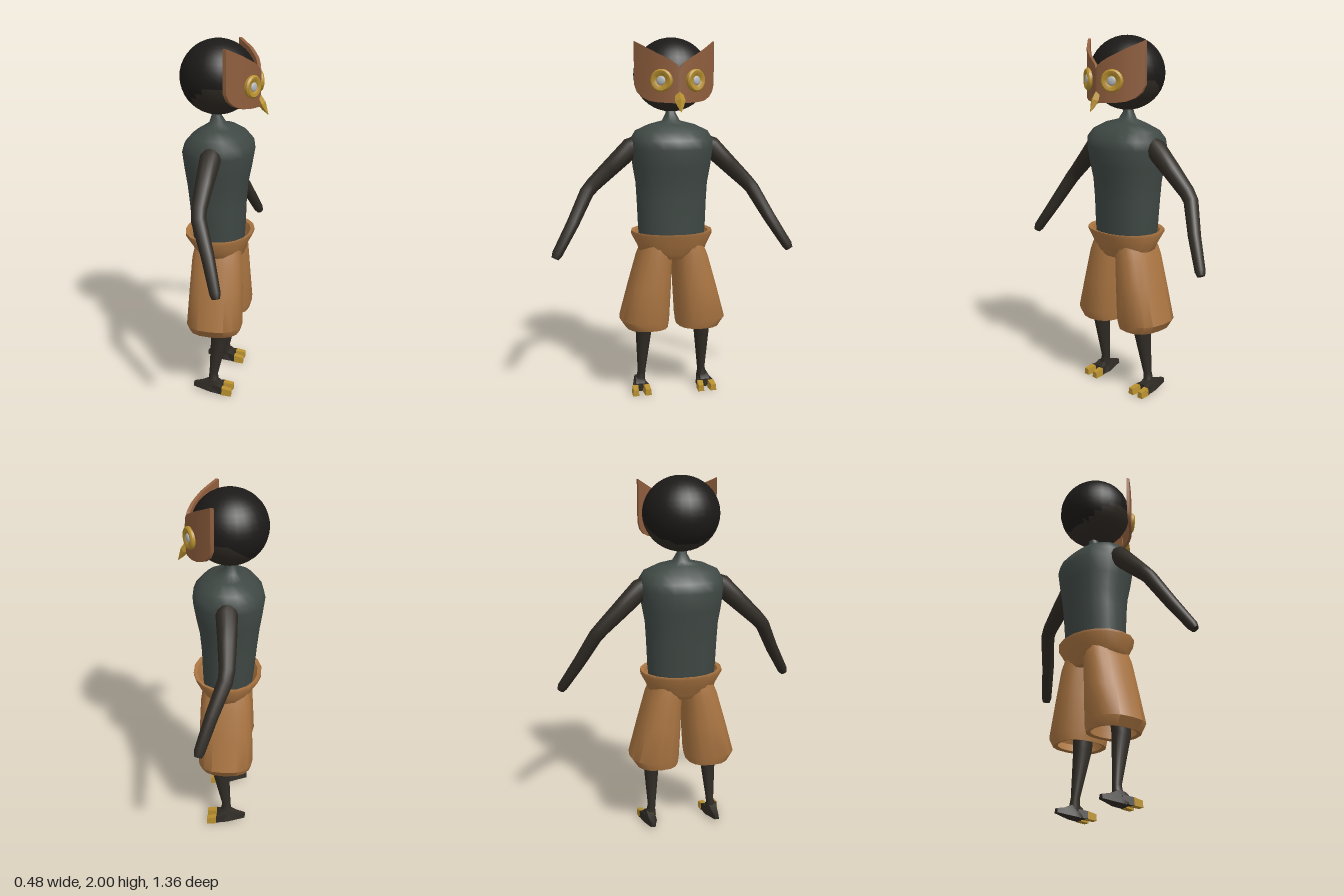
import * as THREE from 'three';
import { toCreasedNormals } from 'three/addons/utils/BufferGeometryUtils.js';

const V = (x, y, z) => new THREE.Vector3(x, y, z);
const mat = (color) => new THREE.MeshStandardMaterial({ color, roughness: 0.9 });

const hairMat = mat(0x1c1a18);
const skinMat = mat(0x2f2a24);
const shirtMat = mat(0x3f4844);
const shortsMat = mat(0xa97441);
shortsMat.side = THREE.DoubleSide;
const maskMat = mat(0x8f5e3d);
const goldMat = mat(0xb8902f);
const lensMat = mat(0xb4bac0);

// Skin a list of equal-length rings, optionally capping both ends
function loft(rings, capped = true, crease = 0.8) {
  const n = rings[0].length;
  const pos = rings.flat().flatMap((p) => p.toArray());
  const idx = [];
  for (let i = 0; i < rings.length - 1; i++) {
    for (let j = 0; j < n; j++) {
      const a = i * n + j, b = i * n + ((j + 1) % n);
      idx.push(a, b, a + n, b, b + n, a + n);
    }
  }
  if (capped) {
    [0, rings.length - 1].forEach((r) => {
      const mid = V(0, 0, 0);
      rings[r].forEach((p) => mid.addScaledVector(p, 1 / n));
      const c = pos.length / 3;
      pos.push(...mid.toArray());
      for (let j = 0; j < n; j++) {
        const a = r * n + j, b = r * n + ((j + 1) % n);
        if (r === 0) idx.push(c, b, a);
        else idx.push(c, a, b);
      }
    });
  }
  const g = new THREE.BufferGeometry();
  g.setAttribute('position', new THREE.Float32BufferAttribute(pos, 3));
  g.setIndex(idx);
  return toCreasedNormals(g, crease);
}

// Horizontal oval ring; e below 1 squares it off
function oval(n, y, x0, x1, z0, z1, e = 1, turn = 0) {
  const f = (t) => Math.sign(t) * Math.abs(t) ** e;
  return Array.from({ length: n }, (_, j) => {
    const a = ((j + turn) / n) * Math.PI * 2;
    return V((x0 + x1) / 2 + (f(Math.sin(a)) * (x1 - x0)) / 2, y,
      (z0 + z1) / 2 + (f(Math.cos(a)) * (z1 - z0)) / 2);
  });
}

// Round limb along a path of [x, y, z, radius]
function limb(path, n = 12) {
  const pts = path.map((p) => V(p[0], p[1], p[2]));
  return loft(pts.map((c, i) => {
    const w = pts[Math.min(i + 1, pts.length - 1)].clone().sub(pts[Math.max(i - 1, 0)]).normalize();
    const u = V(1, 0, 0).cross(w).normalize();
    const v = w.clone().cross(u);
    return Array.from({ length: n }, (_, j) => {
      const a = (j / n) * Math.PI * 2;
      return c.clone().addScaledVector(u, Math.cos(a) * path[i][3]).addScaledVector(v, Math.sin(a) * path[i][3]);
    });
  }));
}

// Block lofted along x from sections [x, yLow, yHigh, zCentre, halfWidth, topHalfWidth]
function block(sections) {
  return loft(sections.map(([x, y0, y1, z, w, t]) =>
    [V(x, y0, z - w), V(x, y1, z - t), V(x, y1, z + t), V(x, y0, z + w)]), true, 0.5);
}

export function createModel() {
  const root = new THREE.Group();
  const add = (name, geo, material, parent = root) => {
    const m = new THREE.Mesh(geo, material);
    m.name = name;
    parent.add(m);
    return m;
  };

  // Head: one ball whose facets are sorted into hair and face
  const ball = new THREE.SphereGeometry(1, 28, 20).scale(0.205, 0.2, 0.208).translate(-0.035, 1.8, 0).toNonIndexed();
  const isFace = (x, y) => y < 1.77 + Math.min(0, (x + 0.04) * 0.8);
  for (const [name, material, face] of [['hair', hairMat, false], ['face', skinMat, true]]) {
    const p = ball.attributes.position, q = ball.attributes.normal, pos = [], nor = [];
    for (let i = 0; i < p.count; i += 3) {
      const cx = (p.getX(i) + p.getX(i + 1) + p.getX(i + 2)) / 3;
      const cy = (p.getY(i) + p.getY(i + 1) + p.getY(i + 2)) / 3;
      if (isFace(cx, cy) !== face) continue;
      for (let k = i; k < i + 3; k++) {
        pos.push(p.getX(k), p.getY(k), p.getZ(k));
        nor.push(q.getX(k), q.getY(k), q.getZ(k));
      }
    }
    const g = new THREE.BufferGeometry();
    g.setAttribute('position', new THREE.Float32BufferAttribute(pos, 3));
    g.setAttribute('normal', new THREE.Float32BufferAttribute(nor, 3));
    add(name, g, material);
  }

  // Shirt with neck: [y, back, front, half width]
  const shirt = [
    [0.86, -0.165, 0.11, 0.18], [0.95, -0.175, 0.115, 0.19], [1.1, -0.188, 0.12, 0.196],
    [1.21, -0.2, 0.13, 0.202], [1.3, -0.214, 0.148, 0.218], [1.4, -0.227, 0.165, 0.23],
    [1.45, -0.212, 0.158, 0.23], [1.495, -0.17, 0.115, 0.205], [1.53, -0.115, 0.06, 0.13],
    [1.55, -0.085, 0.01, 0.05], [1.59, -0.072, -0.015, 0.028], [1.66, -0.07, -0.015, 0.027],
  ];
  add('shirt', loft(shirt.map(([y, b, f, w]) => oval(20, y, b, f, -w, w, 0.88)), true, 1.2), shirtMat);

  // Shorts: flared waistband with a lip
  add('waistband', loft([
    oval(18, 0.79, -0.14, 0.1, -0.13, 0.13),
    oval(18, 0.82, -0.16, 0.12, -0.185, 0.185, 0.9),
    oval(18, 0.86, -0.172, 0.13, -0.198, 0.198, 0.9),
    oval(18, 0.925, -0.218, 0.165, -0.232, 0.232, 0.95),
    oval(18, 0.94, -0.218, 0.167, -0.23, 0.23, 0.95),
    oval(18, 0.935, -0.195, 0.145, -0.208, 0.208, 0.95),
    oval(18, 0.86, -0.15, 0.11, -0.18, 0.18, 0.9),
  ]), shortsMat);

  // Face mask: top edge, bottom edge and curve at each half-width step [z, top, bottom, x]
  const half = [
    [0, 1.83, 1.65, 0.196], [0.012, 1.85, 1.65, 0.193], [0.035, 1.868, 1.652, 0.187],
    [0.075, 1.892, 1.654, 0.172], [0.11, 1.91, 1.656, 0.153], [0.15, 1.934, 1.663, 0.125],
    [0.185, 1.955, 1.682, 0.09], [0.208, 1.969, 1.71, 0.066], [0.22, 1.977, 1.75, 0.052],
  ];
  const columns = [...half.slice(1).reverse().map(([z, ...r]) => [-z, ...r]), ...half];
  const t = 0.018;
  add('mask', loft(columns.map(([z, top, bot, x]) =>
    [V(x, bot, z), V(x, top, z), V(x - t, top, z * 0.98), V(x - t, bot, z * 0.98)])), maskMat);

  // Beak: diamond sections hooking forward and down
  const beak = [[0.182, 1.728, 0.004], [0.192, 1.69, 0.024], [0.205, 1.665, 0.029], [0.22, 1.635, 0.017], [0.238, 1.606, 0.001]];
  add('beak', loft(beak.reverse().map(([x, y, r]) => [V(x, y, r), V(x + r * 0.6, y + r * 0.3, 0), V(x, y, -r),
    V(x - r * 0.8, y - r * 0.4, 0)]), true, 0.2), goldMat);

  for (const side of [1, -1]) {
    const s = new THREE.Group();
    s.name = side > 0 ? 'leftSide' : 'rightSide';
    s.scale.z = side;
    root.add(s);

    // Eye ring and lens, turned to lie on the mask
    const eye = new THREE.Group();
    eye.name = 'eye';
    const ring = [[0.06, -0.012], [0.06, 0.006], [0.052, 0.014], [0.036, 0.012], [0.027, 0.006], [0, 0.006]];
    add('eyeRing', toCreasedNormals(new THREE.LatheGeometry(ring.map((p) => new THREE.Vector2(...p)), 24), 0.5), goldMat, eye);
    add('eyeLens', new THREE.SphereGeometry(0.024, 16, 8).scale(1, 0.35, 1).translate(0, 0.007, 0), lensMat, eye);
    eye.position.set(0.168, 1.77, 0.093);
    eye.quaternion.setFromUnitVectors(V(0, 1, 0), V(0.88, 0, 0.475).normalize());
    s.add(eye);

    // Arm bent forward at the elbow
    add('arm', limb([
      [-0.03, 1.435, 0.17, 0.045], [-0.03, 1.405, 0.225, 0.058], [-0.038, 1.3, 0.335, 0.05],
      [-0.042, 1.2, 0.44, 0.042], [-0.035, 1.16, 0.475, 0.04], [0.03, 1.0, 0.56, 0.035],
      [0.087, 0.845, 0.652, 0.029], [0.093, 0.823, 0.664, 0.021],
    ]), skinMat, s);

    // Wide trouser leg, open at the hem
    add('shortsLeg', loft([
      oval(16, 0.56, -0.13, 0.09, 0.04, 0.24),
      oval(16, 0.44, -0.155, 0.11, 0.04, 0.28, 0.85),
      oval(16, 0.392, -0.145, 0.1, 0.045, 0.25, 0.85),
      oval(16, 0.386, -0.167, 0.12, 0.027, 0.27, 0.8),
      oval(16, 0.435, -0.18, 0.135, 0.02, 0.302, 0.8),
      oval(16, 0.62, -0.172, 0.127, 0.01, 0.252, 0.8),
      oval(16, 0.8, -0.163, 0.12, 0.004, 0.2, 0.8),
      oval(16, 0.87, -0.15, 0.11, 0.0, 0.17, 0.8),
    ]), shortsMat, s);

    // Shin
    add('shin', loft([
      oval(12, 0.035, -0.06, 0.01, 0.155, 0.22), oval(12, 0.085, -0.056, 0.0, 0.155, 0.205),
      oval(12, 0.11, -0.053, -0.002, 0.154, 0.199), oval(12, 0.385, -0.042, 0.065, 0.12, 0.216),
      oval(12, 0.6, -0.06, 0.07, 0.1, 0.22),
    ]), skinMat, s);

    // Bird foot: back spur and two clawed front toes
    add('foot', block([
      [-0.14, 0.022, 0.045, 0.19, 0.014, 0.01], [-0.09, 0.015, 0.055, 0.19, 0.026, 0.018],
      [-0.04, 0.008, 0.078, 0.188, 0.04, 0.022], [0.0, 0.006, 0.07, 0.19, 0.045, 0.025],
      [0.025, 0.006, 0.05, 0.19, 0.036, 0.026],
    ]), skinMat, s);
    for (const d of [-1, 1]) {
      add('toe', block([[-0.03, 0.006, 0.055, 0.19 + d * 0.018, 0.016, 0.012],
        [0.035, 0.005, 0.045, 0.19 + d * 0.033, 0.019, 0.016]]), skinMat, s);
      add('claw', block([[0.03, 0.003, 0.046, 0.19 + d * 0.032, 0.02, 0.017],
        [0.085, 0, 0.036, 0.19 + d * 0.036, 0.018, 0.014]]), goldMat, s);
    }
  }
  return root;
}
